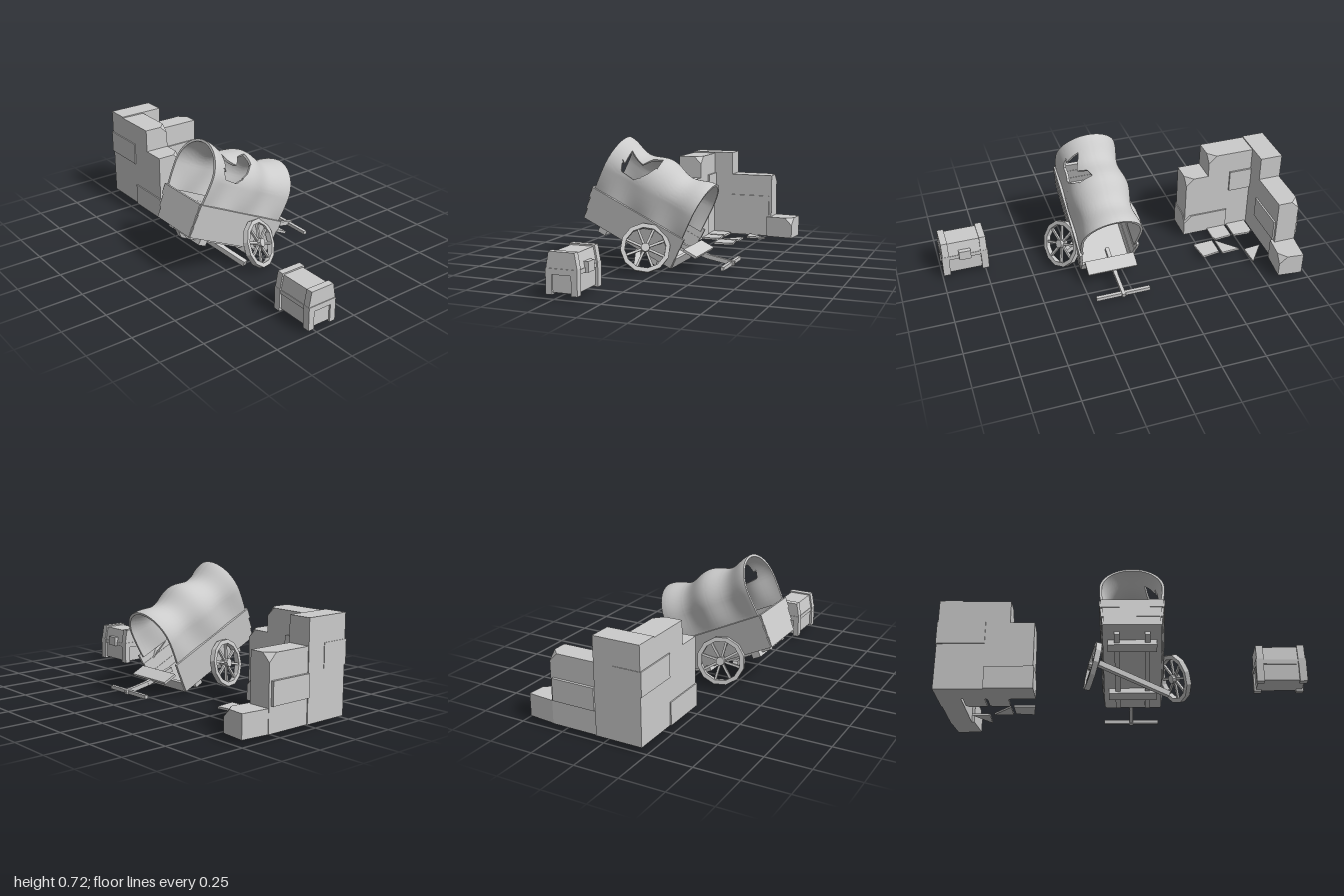
import * as THREE from 'three';
import { toCreasedNormals } from 'three/addons/utils/BufferGeometryUtils.js';
import { ConvexGeometry } from 'three/addons/geometries/ConvexGeometry.js';

const mat = new THREE.MeshStandardMaterial({ color: 0xcccccc, flatShading: true });
const cloth = new THREE.MeshStandardMaterial({ color: 0xcccccc, side: THREE.DoubleSide });
const V = (x, y, z) => new THREE.Vector3(x, y, z);

function add(parent, name, geo, material = mat) {
  const mesh = new THREE.Mesh(geo, material);
  mesh.name = name;
  parent.add(mesh);
  return mesh;
}

// box given by its limits
function box(parent, name, x0, x1, y0, y1, z0, z1) {
  const m = add(parent, name, new THREE.BoxGeometry(x1 - x0, y1 - y0, z1 - z0));
  m.position.set((x0 + x1) / 2, (y0 + y1) / 2, (z0 + z1) / 2);
  return m;
}

// box running from a to b
function beam(parent, name, a, b, w, h) {
  const m = add(parent, name, new THREE.BoxGeometry(w, h, a.distanceTo(b)));
  m.position.copy(a).add(b).multiplyScalar(0.5);
  m.lookAt(b);
  return m;
}

// stone block with chipped corners; chips are strings such as '101' (x, y, z high or low)
function stone(parent, name, x, y, z, chips = [], size = 0.045) {
  const pts = [];
  for (let i = 0; i < 8; i++) {
    const b = [i >> 2 & 1, i >> 1 & 1, i & 1];
    const p = [x[b[0]], y[b[1]], z[b[2]]];
    if (!chips.includes(b.join(''))) pts.push(V(...p));
    else for (let k = 0; k < 3; k++) {
      const q = [...p];
      q[k] += b[k] ? -size : size;
      pts.push(V(...q));
    }
  }
  return add(parent, name, new ConvexGeometry(pts));
}

// flat plan outline in x, z raised to a slab
function slab(parent, name, pts, y0, y1) {
  const geo = new THREE.ExtrudeGeometry(new THREE.Shape(pts.map(p => new THREE.Vector2(p[0], -p[1]))),
    { depth: y1 - y0, bevelEnabled: false });
  geo.rotateX(-Math.PI / 2).translate(0, y0, 0);
  return add(parent, name, geo);
}

function makeWall() {
  const g = new THREE.Group();
  g.name = 'ruinedWall';
  const Y = 0.028;
  stone(g, 'frontWallTall', [-0.985, -0.59], [Y, 0.553], [0.07, 0.215], ['110']);
  stone(g, 'frontWallLow', [-0.6, -0.455], [Y, 0.42], [0.07, 0.215], ['110']);
  stone(g, 'cornerPillar', [-0.99, -0.86], [Y, 0.56], [-0.05, 0.215]);
  stone(g, 'sideWall', [-0.985, -0.86], [Y, 0.42], [-0.315, -0.04], ['010']);
  const stub = stone(g, 'sideWallStub', [-0.07, 0.07], [Y, 0.155], [-0.08, 0.09], ['110']);
  stub.position.set(-0.905, 0, -0.385);
  stub.rotation.y = -0.1;
  // stones standing slightly proud of the wall
  stone(g, 'proudStoneUpper', [-0.993, -0.725], [0.295, 0.425], [0.06, 0.222]);
  stone(g, 'proudStoneLower', [-0.72, -0.45], [Y, 0.157], [0.062, 0.222], ['110']);
  stone(g, 'proudStoneSide', [-1, -0.85], [0.165, 0.288], [-0.3, -0.05]);
  // broken floor tiles
  [[[-0.85, -0.03], [-0.83, -0.05], [-0.73, -0.045], [-0.73, 0.07], [-0.85, 0.07]],
    [[-0.715, -0.04], [-0.61, -0.05], [-0.6, -0.03], [-0.6, 0.07], [-0.715, 0.07]],
    [[-0.84, -0.18], [-0.74, -0.31], [-0.735, -0.19]],
    [[-0.71, -0.175], [-0.6, -0.18], [-0.6, -0.06]],
    [[-0.585, -0.165], [-0.48, -0.18], [-0.465, -0.06], [-0.585, -0.055]],
  ].forEach(p => slab(g, 'floorTile', p, Y, Y + 0.012));
  return g;
}

function makeChest() {
  const g = new THREE.Group();
  g.name = 'chest';
  // end profile of the lid, extruded along x
  const lid = (name, x0, x1, e) => {
    const s = new THREE.Shape([[-0.078, 0.125], [0.078, 0.125], [0.078, 0.15], [0.062, 0.23], [-0.062, 0.23], [-0.078, 0.15]]
      .map(p => new THREE.Vector2(p[0] + Math.sign(p[0]) * e, p[1] + (p[1] > 0.2 ? e : 0))));
    const geo = new THREE.ExtrudeGeometry(s, { depth: x1 - x0, bevelEnabled: false });
    geo.rotateY(Math.PI / 2).translate(x0, 0, 0);
    add(g, name, geo);
  };
  box(g, 'body', -0.122, 0.122, 0.035, 0.14, -0.073, 0.073);
  lid('lid', -0.122, 0.122, 0);
  for (const s of [-1, 1]) {
    const [a, b] = [s * 0.09, s * 0.128].sort((p, q) => p - q);
    lid('lidStrap', a, b, 0.008);
    for (const t of [-1, 1]) {
      const [c, d] = [t * 0.052, t * 0.086].sort((p, q) => p - q);
      box(g, 'cornerPost', s < 0 ? -0.132 : 0.092, s < 0 ? -0.092 : 0.132, 0.025, 0.155, c, d);
    }
    box(g, 'endBand', s < 0 ? -0.132 : 0.11, s < 0 ? -0.11 : 0.132, 0.125, 0.155, -0.08, 0.08);
  }
  box(g, 'rimBand', -0.125, 0.125, 0.127, 0.15, -0.081, 0.081);
  box(g, 'latch', -0.034, 0.034, 0.125, 0.18, -0.097, -0.07);
  g.position.set(0.862, 0, 0.213);
  return g;
}

function makeWheel(center, normal) {
  const g = new THREE.Group();
  g.name = 'wheel';
  const R = 0.136, r = 0.112, h = 0.015;
  const rim = [[r, -h], [R, -h], [R, h], [r, h], [r, -h]].map(p => new THREE.Vector2(...p));
  add(g, 'wheelRim', new THREE.LatheGeometry(rim, 12));
  add(g, 'hub', new THREE.CylinderGeometry(0.024, 0.024, 0.05, 10));
  for (let i = 0; i < 8; i++) {
    const a = i * Math.PI / 4;
    beam(g, 'spoke', V(0, 0, 0), V(Math.cos(a) * 0.115, 0, Math.sin(a) * 0.115), 0.013, 0.013);
  }
  g.position.copy(center);
  g.quaternion.setFromUnitVectors(V(0, 1, 0), normal.normalize());
  return g;
}

// torn sheet over hoops: a grid along the wagon (u) and around the arch (a), with thickness
function canopyGeometry() {
  const NU = 64, NA = 96, K = 0.16;
  const hole = [[0.453, 0.18], [0.481, 0.6], [0.455, 0.45], [0.469, 1.08], [0.37, 0.8], [0.341, 1.2], [0.292, 1.3], [0.281, 0.9],
    [0.309, 0.52], [0.366, 0.12]].map(p => new THREE.Vector2(p[0], p[1] * K));
  const inside = p => {
    let odd = false;
    hole.forEach((a, i) => {
      const b = hole[(i + 1) % hole.length];
      if ((a.y > p.y) !== (b.y > p.y) && p.x < a.x + (b.x - a.x) * (p.y - a.y) / (b.y - a.y)) odd = !odd;
    });
    return odd;
  };
  // pull grid points close to the tear onto its edge
  const snap = p => {
    const best = new THREE.Vector2(), q = new THREE.Vector3();
    let d = 0.0055;
    hole.forEach((a, i) => {
      const b = hole[(i + 1) % hole.length];
      new THREE.Line3(V(a.x, a.y, 0), V(b.x, b.y, 0)).closestPointToPoint(V(p.x, p.y, 0), true, q);
      const e = Math.hypot(q.x - p.x, q.y - p.y);
      if (e < d) { d = e; best.set(q.x, q.y); }
    });
    return d < 0.0055 ? best : p;
  };
  const flat = (i, j) => new THREE.Vector2(-0.025 + 0.575 * i / NU, (-1 + (Math.PI + 2) * j / NA) * K);
  const place = (p, off) => {
    const sag = (1 - Math.cos(2 * Math.PI * (p.x + 0.02) / 0.285)) / 2;
    const R = 0.177 - 0.022 * sag - off, a = p.y / K;
    if (a >= 0 && a <= Math.PI) return [R * Math.cos(a), 0.36 + (R - 0.012 * sag) * Math.sin(a), p.x];
    const t = a < 0 ? -a : a - Math.PI;
    return [Math.sign(a < 0 ? 1 : -1) * (R + (0.163 - off - R) * t * t), 0.36 - 0.15 * t, p.x];
  };
  const pos = [], idx = [], W = NA + 1, N = (NU + 1) * W;
  for (const off of [0, 0.014])
    for (let i = 0; i <= NU; i++) for (let j = 0; j <= NA; j++) pos.push(...place(snap(flat(i, j)), off));
  const kept = (i, j) => i >= 0 && j >= 0 && i < NU && j < NA && !inside(flat(i + 0.5, j + 0.5));
  const quad = (a, b, c, d) => idx.push(a, b, c, a, c, d);
  for (let i = 0; i < NU; i++) for (let j = 0; j < NA; j++) {
    if (!kept(i, j)) continue;
    const c = [i * W + j, i * W + j + 1, (i + 1) * W + j + 1, (i + 1) * W + j];
    quad(...c);
    quad(c[3] + N, c[2] + N, c[1] + N, c[0] + N);
    [[i - 1, j], [i, j + 1], [i + 1, j], [i, j - 1]].forEach((n, k) => {
      if (!kept(...n)) quad(c[(k + 1) % 4], c[k], c[k] + N, c[(k + 1) % 4] + N);
    });
  }
  const geo = new THREE.BufferGeometry();
  geo.setAttribute('position', new THREE.Float32BufferAttribute(pos, 3));
  geo.setIndex(idx);
  return toCreasedNormals(geo, 0.7);
}

function makeWagon() {
  const g = new THREE.Group();
  g.name = 'wagonBody';
  add(g, 'canopy', canopyGeometry(), cloth);
  box(g, 'bedFloor', -0.148, 0.148, 0.04, 0.056, -0.03, 0.54);
  // three overlapping planks on every side, flaring outward
  [[0.04, 0.102], [0.1, 0.172], [0.17, 0.229]].forEach(([v0, v1], i) => {
    const w = 0.15 + 0.008 * i, out = 0.008 * i;
    for (const s of [-1, 1]) {
      const side = box(g, 'sidePlank', s * w - 0.008, s * w + 0.008, v0, v1, -0.035 - out / 3, 0.545 + out);
      side.rotation.z = -s * 0.08;
    }
    box(g, 'frontPlank', -w, w, v0, v1, 0.532 + out, 0.55 + out).rotation.x = 0.1;
    if (i < 1) box(g, 'rearPlank', -w, w, v0, v1, -0.04, -0.025);
  });
  // undercarriage
  for (const s of [-1, 1]) box(g, 'chassisRail', s * 0.08 - 0.014, s * 0.08 + 0.014, 0.015, 0.042, -0.02, 0.5);
  for (const u of [0.08, 0.42]) box(g, 'axleBlock', -0.13, 0.13, 0.0, 0.042, u - 0.025, u + 0.025);
  g.rotation.x = -0.449;
  g.position.x = 0.08;
  return g;
}

export function createModel() {
  const root = new THREE.Group();
  root.name = 'wagonRuin';
  root.add(makeWall(), makeChest());

  const wagon = new THREE.Group();
  wagon.name = 'brokenWagon';
  root.add(wagon);
  wagon.add(makeWagon());
  wagon.add(makeWheel(V(0.31, 0.141, 0.067), V(0.82, 0.37, -0.39)));
  wagon.add(makeWheel(V(-0.135, 0.162, 0.2), V(-0.95, 0.19, 0.225)));
  beam(wagon, 'looseAxle', V(-0.1, 0.145, 0.27), V(0.275, 0.02, 0.135), 0.03, 0.03);

  // tailboard and pulling bar
  beam(wagon, 'tailboard', V(0.08, 0.125, -0.12), V(0.08, 0.088, -0.195), 0.29, 0.014);
  beam(wagon, 'tongueRear', V(0.07, 0.125, -0.04), V(0.07, 0.068, -0.215), 0.022, 0.026);
  beam(wagon, 'tongueFront', V(0.07, 0.07, -0.205), V(0.07, 0.04, -0.365), 0.02, 0.025);
  box(wagon, 'tongueCrossbar', -0.088, 0.225, 0.03, 0.05, -0.354, -0.334);
  return root;
}
